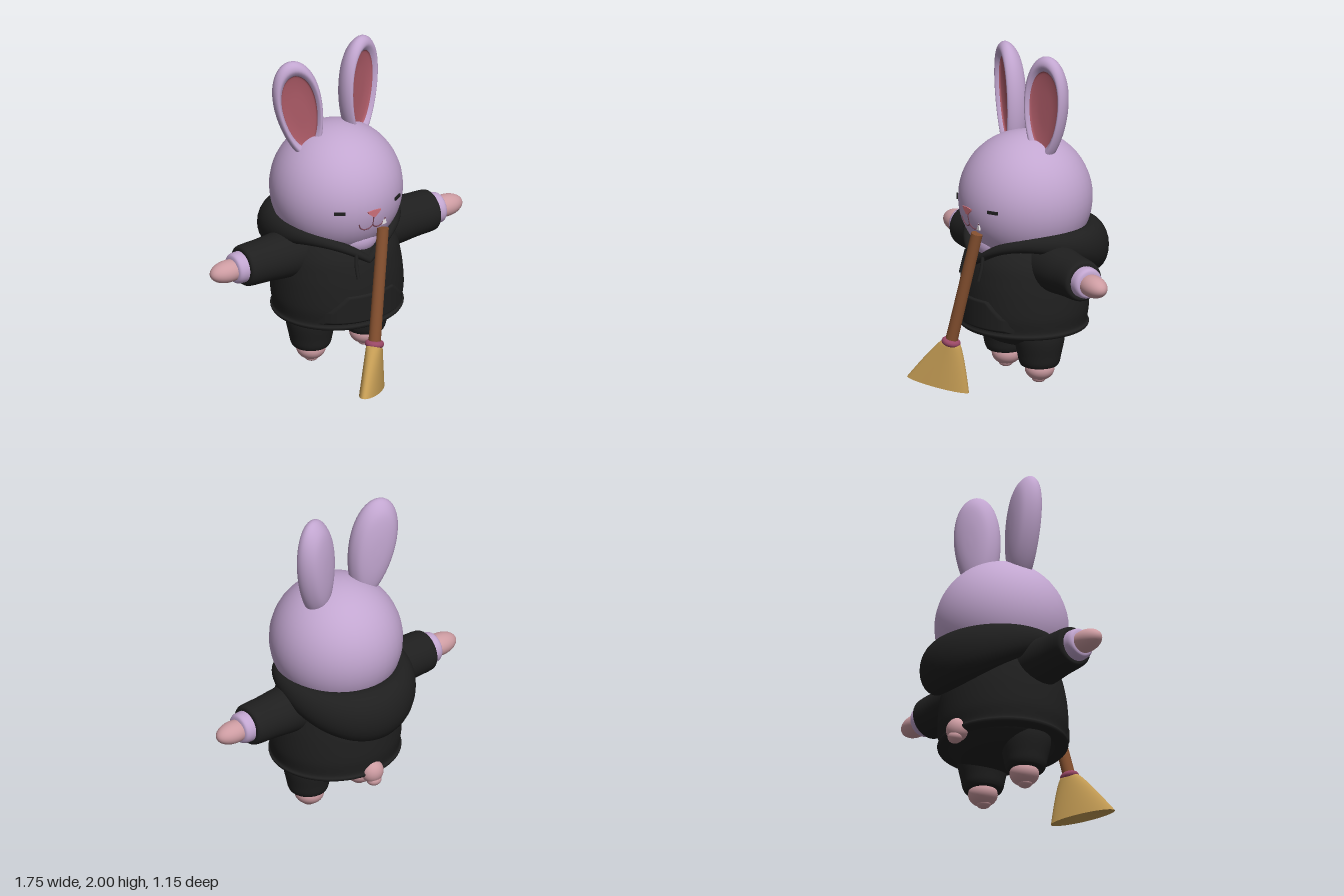
import * as THREE from 'three';
import { mergeVertices } from 'three/addons/utils/BufferGeometryUtils.js';
import { ParametricGeometry } from 'three/addons/geometries/ParametricGeometry.js';

const V2 = (a) => a.map(([x, y]) => new THREE.Vector2(x, y));
const V3 = (x, y, z) => new THREE.Vector3(x, y, z);

function material(name, color, side = THREE.FrontSide) {
  const m = new THREE.MeshStandardMaterial({ color, side });
  m.name = name;
  return m;
}

// Lathe through a smoothed profile of [radius, height] points, listed bottom to top
function lathe(points, steps = 30, segments = 40) {
  const pts = new THREE.SplineCurve(V2(points)).getPoints(steps);
  pts.forEach((p) => { p.x = Math.max(0, p.x); });
  return new THREE.LatheGeometry(pts, segments);
}

function smooth(geo) {
  geo.deleteAttribute('uv');
  geo.deleteAttribute('normal');
  const g = mergeVertices(geo, 1e-5);
  g.computeVertexNormals();
  return g;
}

export function createModel() {
  const root = new THREE.Group();
  const fur = material('lilac fur', 0xc2a6d0);
  const black = material('black cloth', 0x1f1f1f);
  const skin = material('pink paws', 0xcd9ca2);
  const innerEar = material('rose inner ear', 0xab5a66);
  const nosePink = material('nose pink', 0xcc6f7a);
  const mouthRed = material('mouth line', 0x7d4a5c);
  const white = material('tooth white', 0xf2eef2);
  const wood = material('brown wood', 0x85502f);
  const bandRed = material('broom band', 0x9a4866);
  const straw = material('straw', 0xc49c54, THREE.DoubleSide);

  const add = (name, geo, mat, pos = [0, 0, 0], parent = root) => {
    const m = new THREE.Mesh(geo, mat);
    m.name = name;
    m.position.set(...pos);
    parent.add(m);
    return m;
  };
  const ball = (name, mat, pos, size, parent = root) => {
    const m = add(name, new THREE.SphereGeometry(1, 40, 28), mat, pos, parent);
    m.scale.set(...size);
    return m;
  };

  // Head and throat
  ball('head', fur, [0, 1.12, -0.07], [0.385, 0.39, 0.39]);
  ball('throat', fur, [0, 0.88, 0.1], [0.15, 0.12, 0.155]);
  const headZ = (x, y) => -0.07 + Math.sqrt(0.39 ** 2 - x * x - (y - 1.12) ** 2);

  // Ears: a round lathe with a rim and a hollow, stretched to an egg outline
  const earShape = (points) => {
    const g = lathe(points, 36, 48).rotateX(Math.PI / 2);
    const p = g.attributes.position;
    for (let i = 0; i < p.count; i++) {
      const y = p.getY(i);
      p.setXY(i, p.getX(i) * 0.14 * (1 + 0.2 * y), y * 0.325);
    }
    return smooth(g);
  };
  const earGeo = earShape([[0, -0.085], [0.4, -0.08], [0.75, -0.06], [0.94, -0.022], [1, 0.015],
    [0.95, 0.045], [0.85, 0.055], [0.75, 0.038], [0.66, 0.014], [0.4, 0.006], [0, 0.004]]);
  const hollowGeo = earShape([[0.73, 0.034], [0.67, 0.024], [0.4, 0.015], [0, 0.013]]);
  for (const [name, x, y, turn, tilt] of [['leftEar', 0.175, 1.68, 0.36, -0.07], ['rightEar', -0.235, 1.65, -0.25, 0.2]]) {
    const ear = new THREE.Group();
    ear.name = name;
    ear.position.set(x, y, -0.11);
    ear.rotation.set(0, turn, tilt);
    add('earShell', earGeo, fur, [0, 0, 0], ear);
    add('innerEar', hollowGeo, innerEar, [0, 0, 0], ear);
    root.add(ear);
  }

  // Face
  for (const x of [0.197, -0.203]) {
    const eye = add('eye', new THREE.BoxGeometry(0.066, 0.018, 0.009), black, [x, 1.12, headZ(x, 1.12) + 0.002]);
    eye.rotation.y = Math.asin(x / 0.39);
  }
  const plate = (name, corners, mat, z) => add(name, new THREE.ExtrudeGeometry(new THREE.Shape(V2(corners)),
    { depth: 0.009, bevelEnabled: false }), mat, [0, 0, z]);
  plate('nose', [[-0.045, 1.11], [-0.04, 1.098], [-0.008, 1.07], [0.008, 1.07], [0.04, 1.098], [0.045, 1.11], [0, 1.114]], nosePink, 0.316);
  plate('tooth', [[0.068, 0.99], [0.1, 0.995], [0.09, 1.037]], white, 0.291);
  const line = (name, pts) => add(name, new THREE.TubeGeometry(new THREE.CatmullRomCurve3(
    pts.map(([x, y]) => V3(x, y, headZ(x, y)))), 24, 0.004, 6), mouthRed);
  line('mouthMiddle', [[0, 1.075], [0, 1.01]]);
  for (const s of [1, -1]) line('mouth', [[0, 1.012], [s * 0.02, 0.994], [s * 0.05, 0.99], [s * 0.078, 1.005], [s * 0.092, 1.035]]);

  // Hoodie body with hem
  const body = add('hoodieBody', lathe([[0, 0.36], [0.3, 0.355], [0.375, 0.36], [0.393, 0.38], [0.382, 0.4],
    [0.392, 0.48], [0.388, 0.58], [0.375, 0.68], [0.345, 0.79], [0.27, 0.88], [0.14, 0.93], [0, 0.94]], 60, 56), black, [0, 0, -0.06]);
  body.scale.z = 0.94;

  // Front pocket, a slightly raised patch that tapers upward
  add('pocket', new ParametricGeometry((u, v, t) => {
    const half = 0.29 - 0.13 * Math.max(0, (v - 0.4) / 0.6);
    const x = (u * 2 - 1) * half;
    const raise = Math.min(1, 12 * Math.min(u, 1 - u, v, 1 - v));
    t.set(x, 0.4 + 0.18 * v, -0.06 + 0.94 * Math.sqrt(0.385 ** 2 - x * x) + 0.02 * raise - 0.002);
  }, 30, 20), black);

  // Hood: a collar ring, V-shaped in front and swelling into a bag behind
  add('hood', new ParametricGeometry((u, v, t) => {
    const a = u * Math.PI * 2, b = v * Math.PI * 2;
    const s = Math.abs(Math.sin(a / 2)), k = s * s;
    const thick = 0.035 + 0.08 * k * k;
    const high = 0.03 + 0.04 * k + 0.1 * k * k;
    const out = thick * Math.cos(b);
    t.set(Math.sin(a) * (0.352 + out), 0.77 + 0.58 * s - 0.55 * k + high * Math.sin(b),
      -0.1 + Math.cos(a) * (0.35 + out));
  }, 72, 24), black);

  // Drawstrings
  for (const s of [1, -1]) add('drawstring', new THREE.TubeGeometry(new THREE.CatmullRomCurve3(
    [V3(s * 0.09, 0.83, 0.27), V3(s * 0.1, 0.76, 0.285), V3(s * 0.1, 0.69, 0.305)]), 12, 0.011, 8), black);

  // Arms: sleeve, furry cuff and paw, turned round for the other side
  const sleeveGeo = lathe([[0.15, 0.22], [0.138, 0.4], [0.128, 0.52], [0.124, 0.62], [0.115, 0.655], [0.085, 0.662], [0, 0.66]]).rotateZ(-Math.PI / 2);
  const cuffGeo = lathe([[0.09, 0.62], [0.093, 0.67], [0.088, 0.71], [0.065, 0.725], [0, 0.725]]).rotateZ(-Math.PI / 2);
  for (const [name, turn] of [['leftArm', 0], ['rightArm', Math.PI]]) {
    const arm = new THREE.Group();
    arm.name = name;
    arm.position.set(0, 0.775, -0.07);
    arm.rotation.y = turn;
    add('sleeve', sleeveGeo, black, [0, 0, 0], arm);
    add('cuff', cuffGeo, fur, [0, 0, 0], arm);
    ball('paw', skin, [0.755, -0.003, 0], [0.118, 0.065, 0.07], arm);
    root.add(arm);
  }

  // Trousers, feet and tail
  ball('trouserSeat', black, [0, 0.42, -0.07], [0.345, 0.175, 0.32]);
  const legGeo = lathe([[0, 0.16], [0.09, 0.155], [0.115, 0.175], [0.128, 0.23], [0.146, 0.32], [0.145, 0.4]]);
  for (const s of [1, -1]) {
    add('trouserLeg', legGeo, black, [s * 0.19, 0, -0.05]);
    ball('foot', skin, [s * 0.185, 0.135, -0.055], [0.086, 0.07, 0.086]);
    ball('footPad', skin, [s * 0.185, 0.078, -0.05], [0.042, 0.027, 0.042]);
  }
  ball('tail', skin, [0, 0.375, -0.405], [0.068, 0.07, 0.062]);
  ball('tailTuft', skin, [0, 0.325, -0.42], [0.045, 0.036, 0.042]);

  // Broom: handle, band and flared flat brush
  const top = V3(0.075, 0.97, 0.3), neck = V3(-0.052, 0.3, 0.398);
  const dir = top.clone().sub(neck);
  const up = new THREE.Quaternion().setFromUnitVectors(V3(0, 1, 0), dir.clone().normalize());
  const mid = top.clone().add(neck).multiplyScalar(0.5);
  add('broomHandle', new THREE.CylinderGeometry(0.034, 0.036, dir.length(), 24), wood, mid.toArray()).quaternion.copy(up);
  add('broomBand', new THREE.TorusGeometry(0.036, 0.02, 12, 32).rotateX(Math.PI / 2), bandRed, neck.toArray()).quaternion.copy(up);
  const end = V3(-0.108, 0.037, 0.452), long = V3(-0.142, 0.033, 0.122), wide = V3(0.037, 0, 0.043);
  const brush = (k, a, t) => {
    const f = k ** 0.85;
    t.copy(neck).lerp(end, k)
      .addScaledVector(long, Math.cos(a) * (0.28 + 0.72 * f))
      .addScaledVector(wide, Math.sin(a) * (0.8 + 0.2 * f));
  };
  add('broomBrush', new ParametricGeometry((u, v, t) => brush(v, -u * Math.PI * 2, t), 40, 12), straw);
  const hollow = neck.clone().lerp(end, 0.85);
  add('broomUnderside', new ParametricGeometry((u, v, t) => {
    brush(1, -u * Math.PI * 2, t);
    t.lerp(hollow, v);
  }, 40, 4), straw);

  return root;
}
